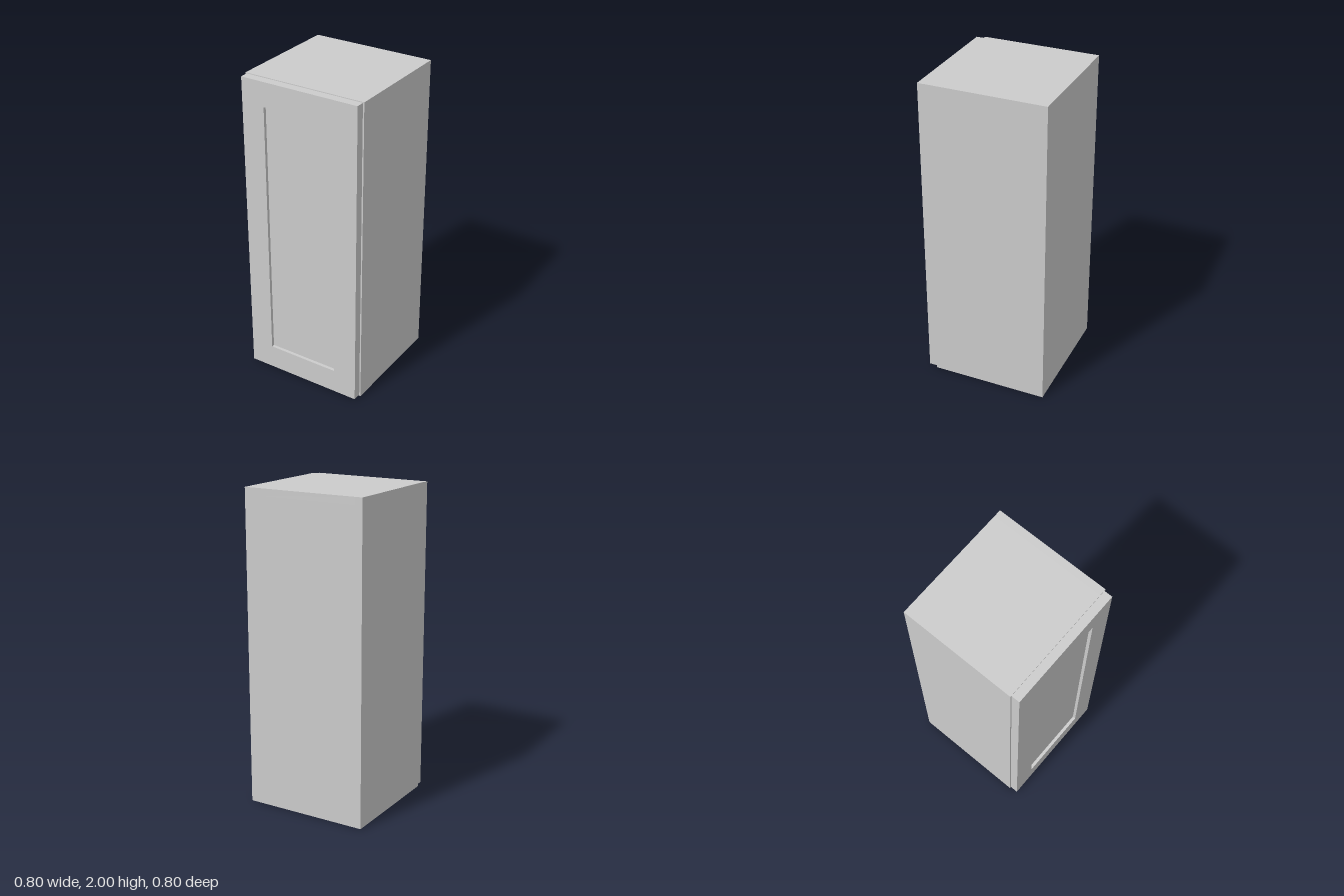
import * as THREE from 'three';

export function createModel() {
  const group = new THREE.Group();
  const material = new THREE.MeshStandardMaterial({ color: 0xcccccc });

  const W = 0.4, H = 2, T = 0.047;     // half width, height, board thickness
  const back = -0.4, front = 0.346;    // depth range of the carcass
  const inner = W - T;

  const add = (name, geometry) => {
    const mesh = new THREE.Mesh(geometry, material);
    mesh.name = name;
    group.add(mesh);
    return mesh;
  };

  // box given by its two opposite corners
  const board = (name, [x0, y0, z0], [x1, y1, z1]) =>
    add(name, new THREE.BoxGeometry(x1 - x0, y1 - y0, z1 - z0))
      .position.set((x0 + x1) / 2, (y0 + y1) / 2, (z0 + z1) / 2);

  // carcass: sides run full height, the other boards fit between them
  board('rightSide', [-W, 0, back], [-inner, H, front]);
  board('leftSide', [inner, 0, back], [W, H, front]);
  board('bottomPanel', [-inner, 0, back], [inner, T, front]);
  board('topPanel', [-inner, H - T, back], [inner, H, front]);
  board('backPanel', [-inner, T, back], [inner, H - T, back + T]);

  // door frame with a rectangular opening
  const rect = (target, x, y0, y1) => {
    target.moveTo(-x, y0).lineTo(x, y0).lineTo(x, y1).lineTo(-x, y1).closePath();
    return target;
  };
  const doorFront = 0.4, recess = 0.02;
  const openX = 0.239, openY0 = 0.165, openY1 = 1.84;
  const frame = rect(new THREE.Shape(), 0.391, 0.008, 1.995);
  frame.holes.push(rect(new THREE.Path(), openX, openY0, openY1));
  add('doorFrame', new THREE.ExtrudeGeometry(frame, { depth: doorFront - front, bevelEnabled: false }))
    .position.z = front;

  // recessed centre panel of the door
  board('doorPanel', [-openX, openY0, front], [openX, openY1, doorFront - recess]);

  return group;
}
